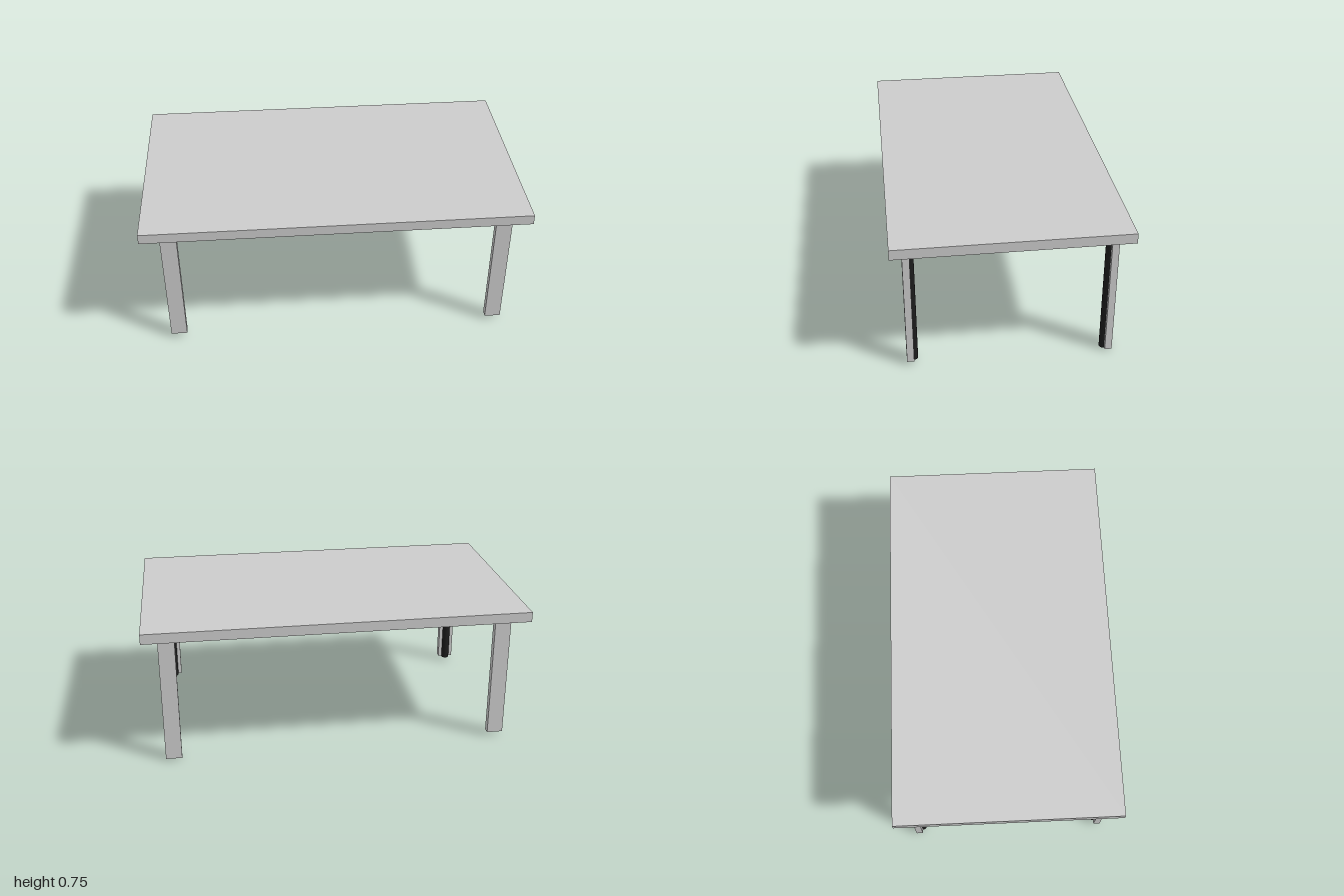
import * as THREE from 'three';

export function createModel() {
  const model = new THREE.Group();
  model.name = 'table';
  const grey = new THREE.MeshStandardMaterial({ color: 0xcccccc });
  const dark = new THREE.MeshStandardMaterial({ color: 0x1c1c1c });

  const add = (parent, name, geometry, material, x, y, z) => {
    const mesh = new THREE.Mesh(geometry, material);
    mesh.name = name;
    mesh.position.set(x, y, z);
    parent.add(mesh);
  };

  // Flat slab top
  const topY = 0.748, underside = 0.695;
  add(model, 'tableTop', new THREE.BoxGeometry(2, topY - underside, 1.174), grey,
    0, (topY + underside) / 2, 0);

  // Each leg: a flat outer plank with a round dark rod set into its inner face.
  // The legs are placed slightly unevenly; x is the leg centre, z its inner face.
  const legs = [
    { name: 'frontLeftLeg', x: 0.868, z: 0.49, foot: 0.019 },
    { name: 'frontRightLeg', x: -0.861, z: 0.496, foot: 0.025 },
    { name: 'backLeftLeg', x: 0.877, z: -0.489, foot: 0.006 },
    { name: 'backRightLeg', x: -0.871, z: -0.484, foot: 0.021 },
  ];
  const width = 0.085, depth = 0.036, radius = 0.0225, rodDrop = 0.006;

  for (const { name, x, z, foot } of legs) {
    const leg = new THREE.Group();
    leg.name = name;
    leg.position.set(x, 0, z);
    const out = Math.sign(z);
    const plankHeight = underside - foot;
    const rodHeight = plankHeight + rodDrop;
    add(leg, 'plank', new THREE.BoxGeometry(width, plankHeight, depth), grey,
      0, foot + plankHeight / 2, out * depth / 2);
    add(leg, 'rod', new THREE.CylinderGeometry(radius, radius, rodHeight, 24), dark,
      0, foot - rodDrop + rodHeight / 2, out * 0.001);
    model.add(leg);
  }
  return model;
}
